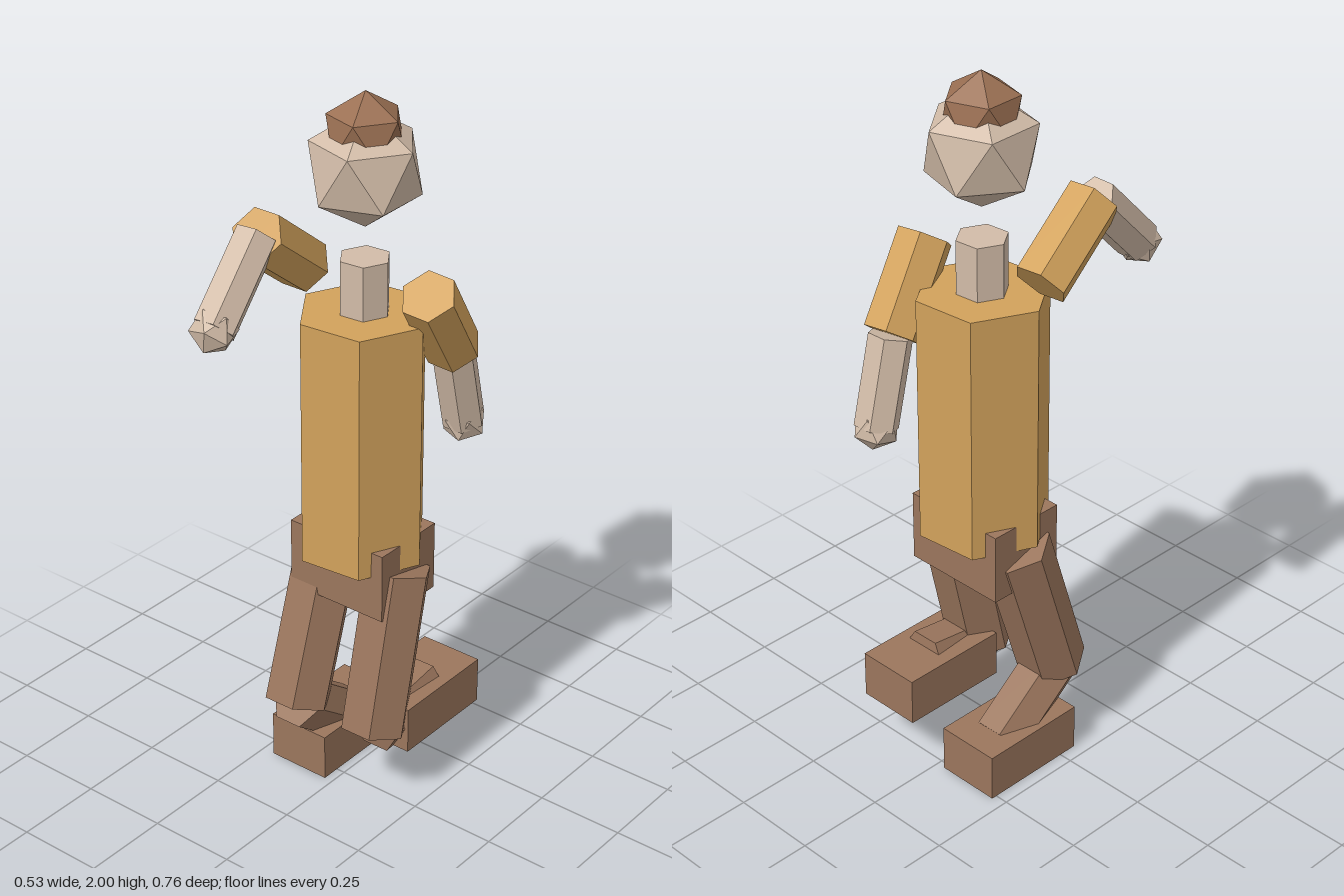
import * as THREE from 'three';

export function createModel() {
  const model = new THREE.Group();
  const material = (name, color) => {
    const m = new THREE.MeshStandardMaterial({ color, flatShading: true });
    m.name = name;
    return m;
  };
  const skin = material('skin', 0xd2bca8);
  const shirt = material('shirt', 0xd2a25c);
  const trousers = material('trousers', 0x9b765d);
  const hair = material('hair', 0x9b7053);

  const add = (name, geometry, mat) => {
    const mesh = new THREE.Mesh(geometry, mat);
    mesh.name = name;
    model.add(mesh);
    return mesh;
  };

  // Rotation whose y axis runs from a to b while x stays close to the model's x
  const alongAxis = (a, b) => {
    const y = b.clone().sub(a).normalize();
    const x = new THREE.Vector3(1, 0, 0).addScaledVector(y, -y.x).normalize();
    const z = x.clone().cross(y);
    return new THREE.Matrix4().makeBasis(x, y, z);
  };

  // Hexagonal prism between two points, with corners pointing to the sides
  const prism = (name, from, to, radius, mat, yaw = 0) => {
    const a = new THREE.Vector3(...from);
    const b = new THREE.Vector3(...to);
    const geometry = new THREE.CylinderGeometry(radius, radius, a.distanceTo(b), 6);
    geometry.rotateY(Math.PI / 6 + yaw);
    const mesh = add(name, geometry, mat);
    mesh.quaternion.setFromRotationMatrix(alongAxis(a, b));
    mesh.position.copy(a).lerp(b, 0.5);
    return mesh;
  };

  // Icosahedron standing on one corner
  const ball = (name, centre, radius, mat, yaw = 0) => {
    const geometry = new THREE.IcosahedronGeometry(radius, 0);
    geometry.rotateZ(-Math.atan(2 / (1 + Math.sqrt(5))));
    geometry.rotateY(yaw);
    const mesh = add(name, geometry, mat);
    mesh.position.set(...centre);
    return mesh;
  };

  const box = (name, size, centre, mat) => {
    add(name, new THREE.BoxGeometry(...size), mat).position.set(...centre);
  };

  // Trunk, slightly turned at the chest
  const turn = 0.087;
  box('pelvis', [0.31, 0.2, 0.228], [0, 0.68, -0.08], trousers);
  prism('torso', [0, 0.705, -0.08], [0, 1.405, -0.08], 0.18, shirt, turn);
  prism('neck', [0, 1.4, -0.084], [0, 1.555, -0.084], 0.07, skin, turn);

  // Head and hair
  ball('head', [0, 1.797, -0.085], 0.16, skin, 0.035);
  ball('hair', [0, 1.89, -0.084], 0.11, hair, 0.035);

  // Arms: shoulder, elbow and hand centre
  const arms = {
    left: [[0.19, 1.495, -0.1], [0.158, 1.283, -0.254], [0.15, 1.042, -0.32]],
    right: [[-0.188, 1.485, -0.07], [-0.17, 1.642, 0.135], [-0.155, 1.456, 0.32]],
  };
  for (const [side, [shoulder, elbow, wrist]] of Object.entries(arms)) {
    prism(side + 'UpperArm', shoulder, elbow, 0.076, shirt);
    const forearm = prism(side + 'Forearm', elbow, wrist, 0.06, skin);
    ball(side + 'Hand', wrist, 0.064, skin).quaternion.copy(forearm.quaternion);
  }

  // Legs: hip, knee, ankle and foot centre
  const legs = {
    left: [[0.12, 0.685, -0.08], [0.124, 0.226, 0.027], [0.122, 0.257, -0.2], [0.12, 0.229, -0.171]],
    right: [[-0.115, 0.685, -0.08], [-0.112, 0.238, 0.067], [-0.116, 0.083, -0.14], [-0.119, 0.068, -0.106]],
  };
  for (const [side, [hip, knee, ankle, foot]] of Object.entries(legs)) {
    prism(side + 'Thigh', hip, knee, 0.095, trousers);
    prism(side + 'Shin', knee, ankle, 0.08, trousers);
    box(side + 'Foot', [0.187, 0.136, 0.32], foot, trousers);
  }

  return model;
}
